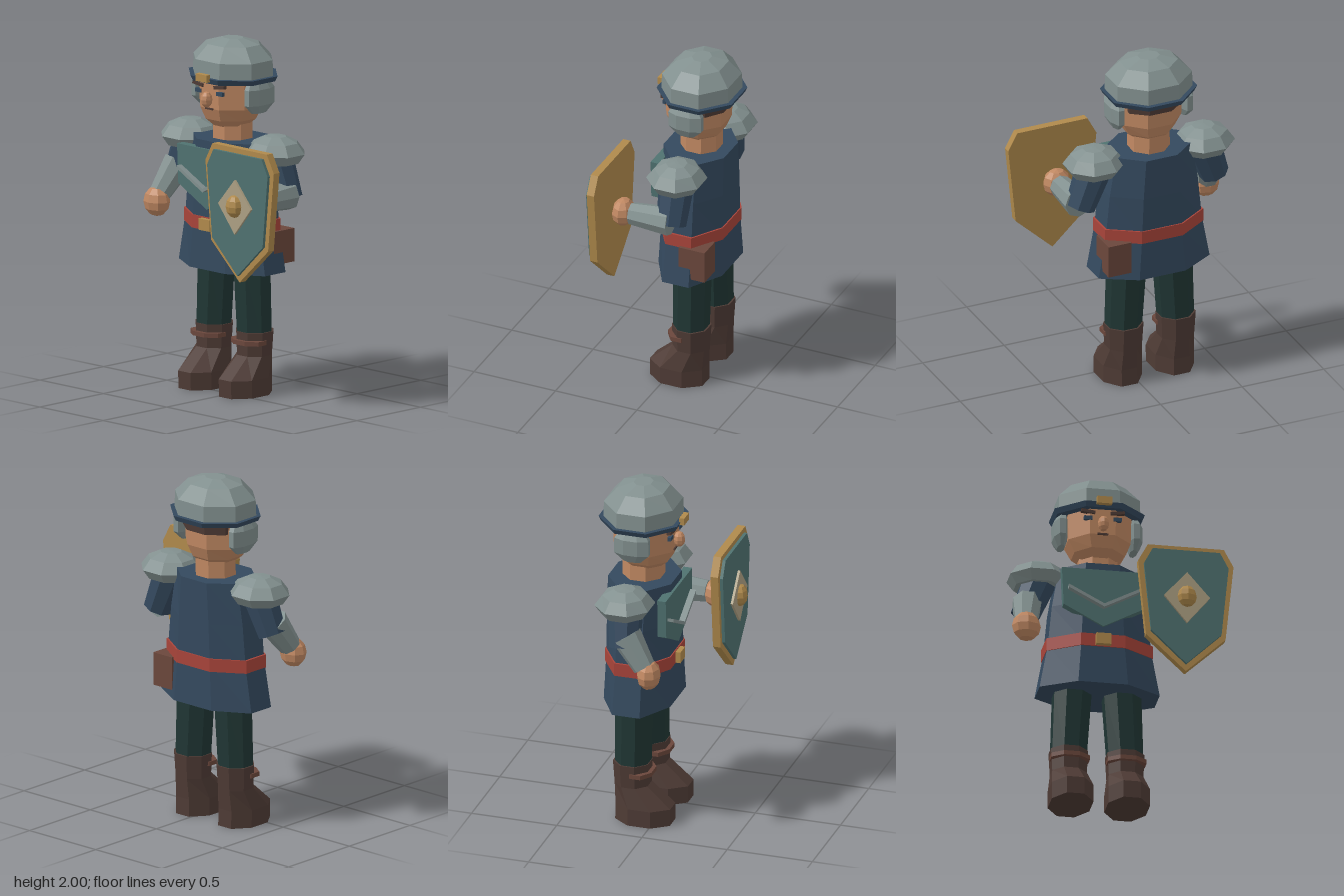
import * as THREE from 'three';

const mat = (name, color) => {
  const m = new THREE.MeshStandardMaterial({ color });
  m.name = name;
  return m;
};

export function createModel() {
  const steel = mat('steel', 0x82908f), skin = mat('skin', 0xc08862), navy = mat('navy cloth', 0x34495e);
  const teal = mat('teal', 0x4f7270), gold = mat('gold', 0xb08a4c), red = mat('red belt', 0xa8443a);
  const boot = mat('dark brown', 0x4e3b35), leather = mat('leather', 0x6b473c);
  const pants = mat('dark green', 0x203634), cream = mat('cream', 0xada083);

  const root = new THREE.Group();
  root.name = 'shieldGuard';
  const body = new THREE.Group();
  body.name = 'body';
  body.position.x = -0.1;
  root.add(body);

  // Every part is faceted: split the faces and give each its own normal
  const add = (name, geo, material, x = 0, y = 0, z = 0) => {
    const g = geo.index ? geo.toNonIndexed() : geo;
    g.computeVertexNormals();
    const mesh = new THREE.Mesh(g, material);
    mesh.name = name;
    mesh.position.set(x, y, z);
    body.add(mesh);
    return mesh;
  };

  // Stacked octagons with flat front: [y, half width, half depth, centre x, centre z]
  const loft = (rings) => {
    const pos = [], idx = [], k = 1 / Math.cos(Math.PI / 8), n = rings.length;
    for (const [y, rx, rz, cx = 0, cz = 0] of rings)
      for (let i = 0; i < 8; i++) {
        const a = (i + 0.5) * Math.PI / 4;
        pos.push(cx + rx * k * Math.cos(a), y, cz + rz * k * Math.sin(a));
      }
    const first = rings[0], last = rings[n - 1];
    pos.push(first[3] ?? 0, first[0], first[4] ?? 0, last[3] ?? 0, last[0], last[4] ?? 0);
    for (let i = 0; i < 8; i++) {
      const j = (i + 1) % 8;
      for (let s = 0; s < n - 1; s++) {
        const a = s * 8 + i, b = s * 8 + j;
        idx.push(a, a + 8, b + 8, a, b + 8, b);
      }
      idx.push(n * 8, i, j, n * 8 + 1, (n - 1) * 8 + j, (n - 1) * 8 + i);
    }
    const g = new THREE.BufferGeometry();
    g.setAttribute('position', new THREE.Float32BufferAttribute(pos, 3));
    g.setIndex(idx);
    return g;
  };

  const box = (name, m, w, h, d, x, y, z) => add(name, new THREE.BoxGeometry(w, h, d), m, x, y, z);
  const ball = (name, m, rx, ry, rz, x, y, z) =>
    add(name, new THREE.SphereGeometry(1, 8, 6).scale(rx, ry, rz), m, x, y, z);
  const limb = (name, m, a, b, ra, rb) => {
    const p = new THREE.Vector3(...a), q = new THREE.Vector3(...b), dir = q.clone().sub(p);
    const mesh = add(name, new THREE.CylinderGeometry(rb, ra, dir.length(), 8), m);
    mesh.position.copy(p).add(q).multiplyScalar(0.5);
    mesh.quaternion.setFromUnitVectors(new THREE.Vector3(0, 1, 0), dir.normalize());
  };
  const plate = (name, m, points, depth, x, y, z) => {
    const shape = new THREE.Shape(points.map(([px, py]) => new THREE.Vector2(px, py)));
    return add(name, new THREE.ExtrudeGeometry(shape, { depth, bevelEnabled: false }), m, x, y, z);
  };

  // Tunic, belt and chest armour
  const zc = -0.115;
  add('tunic', loft([[0.7, 0.34, 0.195, 0, zc], [0.96, 0.293, 0.186, 0, zc], [1.2, 0.27, 0.186, 0, zc],
    [1.435, 0.23, 0.185, 0, zc]]), navy);
  add('belt', loft([[0.925, 0.302, 0.193, 0, zc], [1.0, 0.302, 0.193, 0, zc]]), red);
  box('beltBuckle', gold, 0.085, 0.065, 0.035, 0, 0.962, 0.09);
  plate('chestPlate', teal, [[-0.235, 1.39], [-0.225, 1.165], [0, 1.045], [0.225, 1.165], [0.235, 1.39]],
    0.05, 0, 0, 0.035);
  plate('chestChevron', steel, [[-0.2, 1.275], [-0.2, 1.255], [0, 1.15], [0.2, 1.255], [0.2, 1.275], [0, 1.17]],
    0.035, 0, 0, 0.085);
  box('pouch', leather, 0.14, 0.19, 0.16, 0.25, 0.84, -0.205);
  box('pouchClasp', gold, 0.05, 0.045, 0.03, 0.27, 0.89, -0.11);

  // Neck, head and face
  add('neck', loft([[1.4, 0.112, 0.11, 0, -0.12], [1.54, 0.108, 0.11, 0, -0.12]]), skin);
  add('head', loft([[1.495, 0.075, 0.08, 0, -0.105], [1.55, 0.14, 0.14, 0, -0.105],
    [1.62, 0.176, 0.168, 0, -0.105], [1.79, 0.18, 0.172, 0, -0.105]]), skin);
  add('backHair', loft([[1.71, 0.16, 0.12, 0, -0.165], [1.79, 0.165, 0.12, 0, -0.17]]), boot);
  ball('nose', skin, 0.032, 0.046, 0.035, 0, 1.675, 0.087);
  box('mouth', boot, 0.06, 0.01, 0.009, 0, 1.62, 0.066);
  for (const s of [-1, 1]) {
    box('eye', navy, 0.046, 0.022, 0.02, s * 0.083, 1.714, 0.062);
    box('eyebrow', boot, 0.08, 0.018, 0.025, s * 0.083, 1.752, 0.064).rotation.z = s * 0.13;
  }

  // Helmet
  const hz = -0.122;
  add('helmetDome', loft([[1.79, 0.232, 0.205, 0, hz], [1.89, 0.228, 0.202, 0, hz],
    [1.97, 0.155, 0.135, 0, hz], [2.0, 0.06, 0.05, 0, hz]]), steel);
  add('helmetBrim', loft([[1.77, 0.24, 0.218, 0, hz], [1.8, 0.255, 0.23, 0, hz]]), navy);
  box('helmetBadge', gold, 0.085, 0.042, 0.03, 0, 1.803, 0.115);
  for (const s of [-1, 1])
    add('earGuard', loft([[1.6, 0.02, 0.05, s * 0.205, -0.12], [1.65, 0.04, 0.1, s * 0.21, -0.12],
      [1.74, 0.042, 0.1, s * 0.21, -0.12], [1.785, 0.03, 0.07, s * 0.2, -0.12]]), steel);

  // Shoulders and upper arms
  for (const s of [-1, 1]) {
    const cx = s * 0.335;
    add('shoulderGuard', loft([[1.34, 0.13, 0.12, cx, -0.122], [1.395, 0.165, 0.157, cx, -0.122],
      [1.455, 0.125, 0.115, cx, -0.122], [1.488, 0.06, 0.055, cx, -0.122], [1.492, 0.01, 0.01, cx, -0.122]]), steel);
  }
  limb('rightUpperArm', navy, [-0.32, 1.4, -0.12], [-0.41, 1.16, -0.1], 0.105, 0.085);
  limb('rightForearm', steel, [-0.4, 1.23, -0.09], [-0.43, 1.065, 0.025], 0.088, 0.064);
  ball('rightHand', skin, 0.082, 0.086, 0.068, -0.43, 1.025, 0.05);
  limb('leftUpperArm', navy, [0.32, 1.4, -0.12], [0.425, 1.14, -0.13], 0.105, 0.085);
  limb('leftForearm', steel, [0.43, 1.165, -0.13], [0.435, 1.16, 0.11], 0.085, 0.064);
  ball('leftHand', skin, 0.082, 0.082, 0.065, 0.435, 1.16, 0.158);

  // Legs and boots
  for (const s of [-1, 1]) {
    const x = s * 0.16;
    add('trouserLeg', loft([[0.33, 0.098, 0.095, x, -0.13], [0.72, 0.106, 0.098, s * 0.14, -0.13],
      [0.78, 0.106, 0.098, s * 0.135, -0.13]]), pants);
    add('boot', loft([[0, 0.118, 0.16, x, -0.06], [0.1, 0.118, 0.16, x, -0.058],
      [0.22, 0.098, 0.096, x, -0.13], [0.355, 0.105, 0.102, x, -0.133]]), boot);
    add('bootStrap', loft([[0.285, 0.109, 0.076, x, -0.085], [0.31, 0.109, 0.076, x, -0.085]]), leather);
  }

  // Shield
  const outline = (k, inset) => [[-0.215, 0.322], [-0.27, 0.22], [-0.225, -0.23], [0, -0.44], [0.225, -0.23],
    [0.27, 0.22], [0.215, 0.322]].map(([x, y]) => [x * k, y * inset]);
  plate('shieldRim', gold, outline(1, 1), 0.045, 0.435, 1.165, 0.215);
  plate('shieldFace', teal, outline(0.885, 0.91), 0.018, 0.435, 1.165, 0.26);
  plate('shieldDiamond', cream, [[0, 0.15], [-0.13, 0], [0, -0.16], [0.13, 0]], 0.014, 0.435, 1.165, 0.287);
  ball('shieldBoss', gold, 0.055, 0.065, 0.045, 0.435, 1.165, 0.3);

  return root;
}
